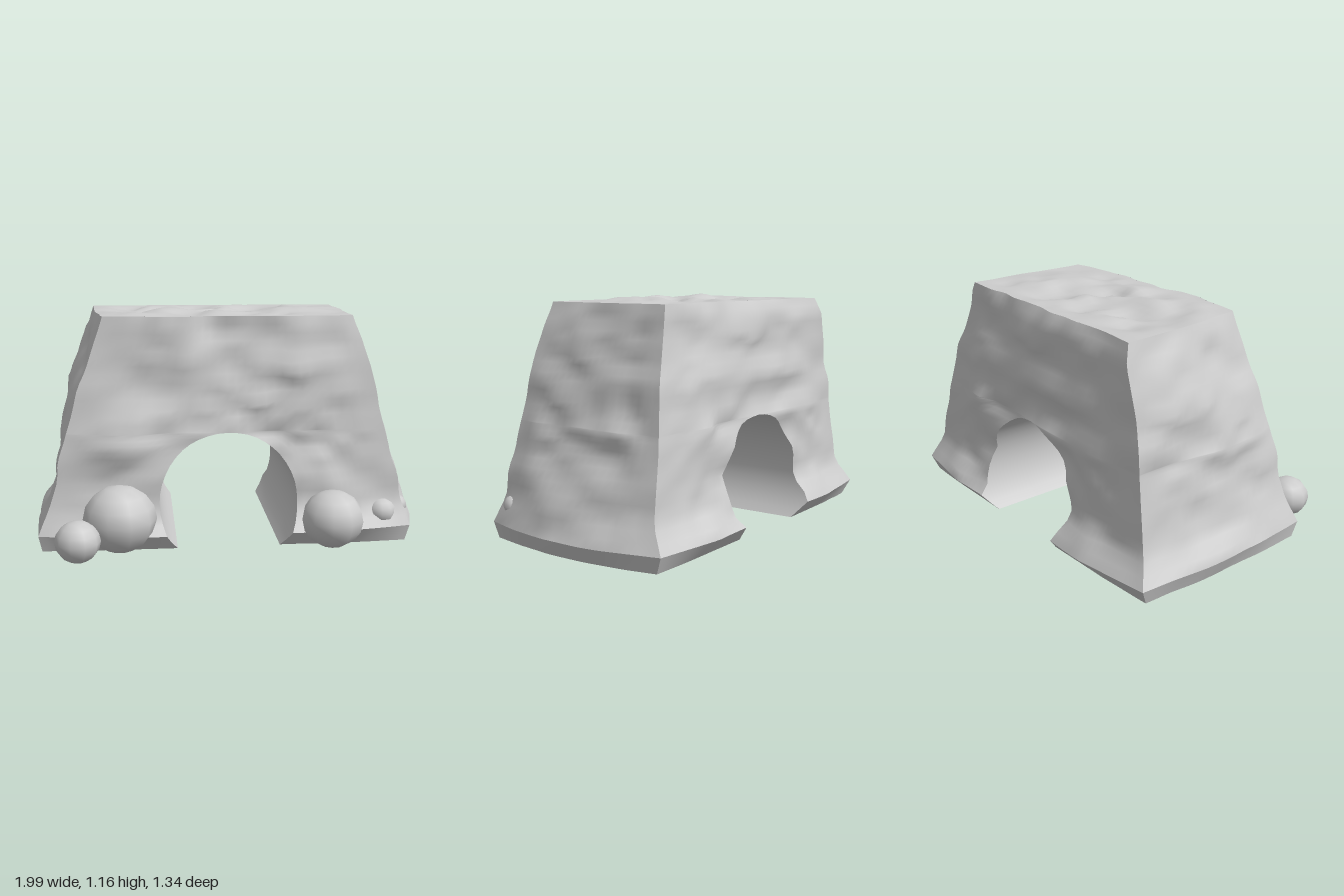
import * as THREE from 'three';
import { mergeGeometries, mergeVertices } from 'three/addons/utils/BufferGeometryUtils.js';

const V = (x, y, z) => new THREE.Vector3(x, y, z);
const TOP = 1.14, ARCH_X = -0.025, ARCH_Y = 0.23, ARCH_R = 0.345;

// Heights of the profile and, for each corner, its [x, z] at those heights
const LEVELS = [0, 0.083, 0.2, 0.5, 0.8, 1.05, TOP];
const CORNERS = [
  [[-0.95, 0.39], [-0.965, 0.41], [-0.92, 0.37], [-0.84, 0.33], [-0.76, 0.28], [-0.67, 0.235], [-0.64, 0.22]],
  [[0.88, 0.38], [0.90, 0.395], [0.86, 0.35], [0.80, 0.33], [0.72, 0.30], [0.65, 0.265], [0.62, 0.25]],
  [[0.89, -0.58], [0.91, -0.615], [0.87, -0.55], [0.81, -0.53], [0.73, -0.48], [0.65, -0.445], [0.62, -0.43]],
  [[-0.94, -0.58], [-0.965, -0.62], [-0.90, -0.56], [-0.85, -0.54], [-0.80, -0.52], [-0.74, -0.53], [-0.71, -0.495]],
];
// How far each wall swells out between its corners: front, +x, back, -x
const BULGE = [
  [0.015, 0.07, 0.025, 0.03, 0.022, 0.03, 0.035],
  [0.06, 0.09, 0.075, 0.012, 0.01, 0.01, 0.005],
  [0.015, 0.05, 0.015, 0.025, 0.025, 0, -0.012],
  [0.015, 0.03, 0.02, 0.025, 0.045, 0.02, 0.01],
];
const NORMALS = [V(0, 0, 1), V(1, 0, 0), V(0, 0, -1), V(-1, 0, 0)];
// Overhanging knobs on the front: x, y, width, height, depth
const KNOBS = [
  [-0.62, 0.55, 0.2, 0.12, 0.06], [-0.45, 0.92, 0.08, 0.05, 0.02],
  [0.3, 0.94, 0.1, 0.05, 0.02], [0.14, 0.72, 0.08, 0.05, 0.02],
];

// Smooth value noise, -1 to 1
function hash(i, j, k) {
  const s = Math.sin(i * 127.1 + j * 311.7 + k * 74.7) * 43758.5453;
  return (s - Math.floor(s)) * 2 - 1;
}
function noise(x, y, z) {
  const [i, j, k] = [x, y, z].map(Math.floor);
  const [a, b, c] = [x - i, y - j, z - k].map((f) => f * f * (3 - 2 * f));
  const mix = THREE.MathUtils.lerp;
  const row = (dj, dk) => mix(hash(i, j + dj, k + dk), hash(i + 1, j + dj, k + dk), a);
  return mix(mix(row(0, 0), row(1, 0), b), mix(row(0, 1), row(1, 1), b), c);
}

// Reads a value off the profile at height y
function atLevel(values, y) {
  let i = 0;
  while (i < LEVELS.length - 2 && y > LEVELS[i + 1]) i++;
  const f = (y - LEVELS[i]) / (LEVELS[i + 1] - LEVELS[i]);
  return THREE.MathUtils.lerp(values[i], values[i + 1], f);
}
function corner(k, y) {
  const c = CORNERS[k % 4];
  const wobble = 1 + 0.014 * noise(k % 4 * 5, y * 9, 3) * THREE.MathUtils.smoothstep(y, 0.1, 0.25);
  return V(atLevel(c.map((p) => p[0]), y) * wobble, y, atLevel(c.map((p) => p[1]), y) * wobble);
}
const fade = (t) => Math.min(1, 6 * t * (1 - t));

// Point on rock wall k, t running between its corners
function wall(k, t, y) {
  const p = corner(k, y).lerp(corner(k + 1, y), t);
  const strength = y < 0.1 ? 0.25 : 1;
  let rough = strength * (0.024 * noise(p.x * 4 + 9, y * 9, p.z * 4 + k * 7)
    + 0.015 * noise(p.x * 9, y * 16 + 4, p.z * 9));
  if (k === 0) {
    for (const [x, h, w, tall, depth] of KNOBS) {
      rough += depth * Math.exp(-(((p.x - x) / w) ** 2) - ((y - h) / tall) ** 2);
    }
  }
  // Sides swell as a rounded bow, front and back more evenly
  const swell = k % 2 ? Math.sin(Math.PI * t) : fade(t);
  p.addScaledVector(NORMALS[k], swell * atLevel(BULGE[k], y) + fade(t) * rough);
  // Bulging rock sags into small ledges above the archway
  const sag = THREE.MathUtils.smoothstep(y, 0.62, 0.72) * (1 - THREE.MathUtils.smoothstep(y, 1, 1.1));
  p.y -= sag * fade(t) * Math.max(0, rough);
  return p;
}
// Where the archway cuts wall k at height y; side is -1 before it, +1 after it
function archCut(k, y, side) {
  const a = corner(k, y).x, b = corner(k + 1, y).x;
  const d = Math.sqrt(Math.max(0, ARCH_R ** 2 - (y - ARCH_Y) ** 2));
  return (ARCH_X + side * Math.sign(b - a) * (y >= ARCH_Y + ARCH_R - 1e-6 ? 0 : d) - a) / (b - a);
}

// Grid of points made from a function of column and row
function grid(cols, rows, fn) {
  const pos = [], index = [];
  for (let j = 0; j <= rows; j++) {
    for (let i = 0; i <= cols; i++) pos.push(...fn(i, j).toArray());
  }
  for (let j = 0; j < rows; j++) {
    for (let i = 0; i < cols; i++) {
      const a = j * (cols + 1) + i, c = a + cols + 1;
      index.push(a, a + 1, c + 1, a, c + 1, c);
    }
  }
  const g = new THREE.BufferGeometry();
  g.setAttribute('position', new THREE.Float32BufferAttribute(pos, 3));
  g.setIndex(index);
  return g;
}
function smooth(parts) {
  const g = mergeVertices(mergeGeometries(parts), 1e-4);
  g.computeVertexNormals();
  return g;
}

export function createModel() {
  const model = new THREE.Group();
  model.name = 'rockArch';
  const stone = new THREE.MeshStandardMaterial({ color: 0xcccccc, side: THREE.DoubleSide });
  stone.name = 'grey stone';
  const add = (name, geometry) => {
    const mesh = new THREE.Mesh(geometry, stone);
    mesh.name = name;
    model.add(mesh);
    return mesh;
  };

  // Row heights follow the arch curve, then continue evenly to the top
  const rows = [];
  const start = Math.asin(-ARCH_Y / ARCH_R), steps = 16;
  for (let i = 0; i <= steps; i++) {
    rows.push(Math.max(0, ARCH_Y + ARCH_R * Math.sin(start + (Math.PI / 2 - start) * i / steps)));
  }
  const crown = rows[steps];
  for (let i = 1; i <= 14; i++) rows.push(crown + (TOP - crown) * i / 14);
  const lip = 2, last = rows.length - 1;

  // Four walls, each with an undercut foot below a crisp lip
  ['front', 'left', 'back', 'right'].forEach((name, k) => {
    const build = (from, to) => {
      if (k % 2) return smooth([grid(20, to - from, (i, j) => wall(k, i / 20, rows[from + j]))]);
      return smooth([
        grid(16, to - from, (i, j) => {
          const y = rows[from + j];
          return wall(k, archCut(k, y, -1) * i / 16, y);
        }),
        grid(16, to - from, (i, j) => {
          const y = rows[from + j], t = archCut(k, y, 1);
          return wall(k, t + (1 - t) * i / 16, y);
        }),
      ]);
    };
    add(name + 'Foot', build(0, lip));
    add(name + 'Wall', build(lip, last));
  });

  // Uneven top, blended from the upper edges of the four walls
  add('top', smooth([grid(30, 20, (i, j) => {
    const u = i / 30, s = j / 20;
    const across = wall(0, u, TOP).lerp(wall(2, 1 - u, TOP), s);
    const along = wall(3, 1 - s, TOP).lerp(wall(1, s, TOP), u);
    const flat = corner(0, TOP).lerp(corner(1, TOP), u)
      .lerp(corner(3, TOP).lerp(corner(2, TOP), u), s);
    const p = across.add(along).sub(flat);
    p.y = TOP + fade(u) * fade(s)
      * (0.028 * noise(p.x * 6, 2, p.z * 6) + 0.018 * noise(p.x * 12, 8, p.z * 12));
    return p;
  })]));

  // Smooth tunnel through the rock
  add('tunnel', smooth([grid(steps * 2, 4, (i, j) => {
    const side = i <= steps ? 1 : -1;
    const y = rows[i <= steps ? i : steps * 2 - i];
    return wall(0, archCut(0, y, side), y).lerp(wall(2, archCut(2, y, -side), y), j / 4);
  })]));

  // Slightly squat boulders around the feet: x, y, z, radius
  [
    [-0.565, 0.167, 0.42, 0.182],
    [-0.765, 0.102, 0.56, 0.111],
    [0.49, 0.144, 0.445, 0.157],
    [0.76, 0.145, 0.335, 0.08],
    [0.845, 0.165, 0.3, 0.06],
  ].forEach(([x, y, z, r], i) => {
    const boulder = add('boulder' + (i + 1), new THREE.SphereGeometry(r, 10, 8));
    boulder.position.set(x, y, z);
    boulder.scale.y = 0.917;
    boulder.rotation.y = i * 0.7;
  });

  return model;
}
